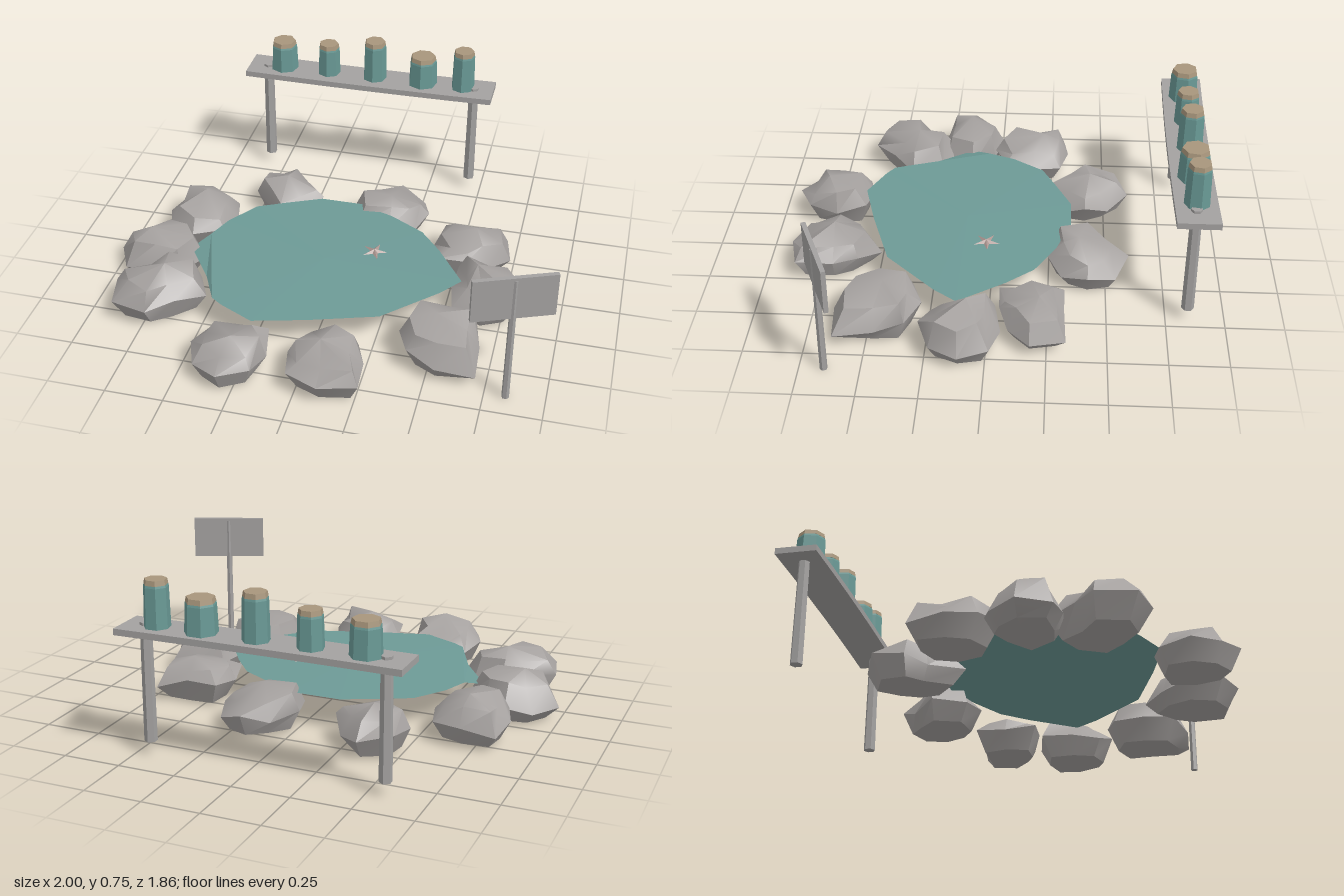
import * as THREE from 'three';
import { toCreasedNormals } from 'three/addons/utils/BufferGeometryUtils.js';

const material = (name, color, extra = {}) => {
  const m = new THREE.MeshStandardMaterial({ color, ...extra });
  m.name = name;
  return m;
};

// Small seeded generator, returns 0..1
let seed = 7;
const rnd = () => (seed = (seed * 16807) % 2147483647) / 2147483647;

// Geometry from a flat list of triangle corners
function triangles(points) {
  const g = new THREE.BufferGeometry();
  g.setAttribute('position', new THREE.Float32BufferAttribute(points.flat(), 3));
  g.computeVertexNormals();
  return g;
}

// Skin closed rings of [x, y, z] points, from bottom to top; caps meet in one point each
function loft(rings, bottom, top) {
  const pts = [], n = rings[0].length, last = rings[rings.length - 1];
  for (let i = 0; i < n; i++) {
    const j = (i + 1) % n;
    pts.push(bottom, rings[0][i], rings[0][j]);
    for (let k = 0; k + 1 < rings.length; k++) {
      const lo = rings[k], up = rings[k + 1];
      pts.push(lo[i], up[i], lo[j], up[i], up[j], lo[j]);
    }
    pts.push(top, last[j], last[i]);
  }
  return triangles(pts);
}

// Rock: eight radii around its centre, pulled into base, belly and crown
function rockGeometry(x, z, h, radii) {
  const ring = (scale, y, wobble) => radii.map((r, i) => {
    const a = i * Math.PI / 4, s = r * (scale + (rnd() - 0.5) * wobble);
    return [x + Math.cos(a) * s, y + (rnd() - 0.5) * wobble * 0.16, z + Math.sin(a) * s];
  });
  const rings = [ring(0.74, 0.014, 0.08), ring(1, 0.09, 0), ring(0.7, h - 0.04, 0.3)];
  rings[1].forEach(p => { p[1] += (rnd() - 0.5) * 0.07; });
  const top = [x + (rnd() - 0.5) * 0.1, h, z + (rnd() - 0.5) * 0.1];
  return toCreasedNormals(loft(rings, [x, 0.003, z], top), 0.72);
}

export function createModel() {
  const root = new THREE.Group();
  root.name = 'rockPond';
  const stone = material('stone grey', 0xa5a19f);
  const wood = material('weathered wood grey', 0xa3a1a0);
  const water = material('pond teal', 0x6d9a96, { side: THREE.DoubleSide });
  const glass = material('jar teal', 0x699995, { flatShading: true });
  const lidTan = material('lid tan', 0xa8967c, { flatShading: true });
  const starPink = material('starfish brown', 0xae9893, { flatShading: true });

  const add = (parent, name, geo, mat, x = 0, y = 0, z = 0) => {
    const m = new THREE.Mesh(geo, mat);
    m.name = name;
    m.position.set(x, y, z);
    parent.add(m);
    return m;
  };

  // Ring of rocks: x, z, height, then radii from +x round towards +z
  const rocks = new THREE.Group();
  rocks.name = 'rocks';
  root.add(rocks);
  [
    [-0.36, -0.41, 0.20, .17, .17, .22, .11, .16, .20, .20, .15],
    [0.16, -0.42, 0.20, .16, .16, .18, .21, .19, .14, .18, .17],
    [0.56, -0.18, 0.20, .18, .13, .13, .19, .17, .20, .14, .21],
    [0.67, 0.11, 0.22, .17, .17, .17, .18, .15, .20, .17, .18],
    [0.54, 0.465, 0.21, .16, .24, .18, .18, .18, .20, .19, .18],
    [0.11, 0.695, 0.20, .15, .23, .20, .20, .17, .17, .20, .15],
    [-0.30, 0.735, 0.21, .16, .18, .19, .17, .165, .18, .16, .19],
    [-0.715, 0.415, 0.22, .21, .14, .20, .23, .20, .12, .21, .20],
    [-0.80, 0.135, 0.22, .20, .18, .15, .19, .20, .16, .155, .15],
    [-0.70, -0.165, 0.21, .16, .19, .19, .18, .17, .21, .165, .18],
  ].forEach(([x, z, h, ...radii]) => add(rocks, 'rock', rockGeometry(x, z, h, radii), stone));

  // Water sheet, slightly domed, with a drooping flap at its -x edge
  const rim = [
    [-.18, -.345], [.05, -.345], [.19, -.27], [.33, -.19], [.43, -.07], [.565, .13],
    [.49, .23], [.27, .45], [-.02, .545], [-.245, .605], [-.40, .53], [-.45, .495],
    [-.60, .05], [-.555, -.07], [-.46, -.21], [-.34, -.27],
  ].map(([x, z]) => [x, 0.152, z]);
  const sheet = rim.flatMap((p, i) => [[-0.05, 0.162, 0.12], rim[(i + 1) % rim.length], p]);
  const tip = [-0.665, 0.125, 0.135], fold = [-0.53, 0.13, 0.33];
  sheet.push(rim[11], rim[12], fold, fold, rim[12], tip);
  add(root, 'water', triangles(sheet), water);

  // Starfish with a raised centre
  const star = [...Array(10)].map((_, i) => {
    const a = i * Math.PI / 5 - 1.35, r = i % 2 ? 0.02 : 0.06;
    return [Math.cos(a) * r, 0, Math.sin(a) * r];
  });
  add(root, 'starfish', loft([star], [0, -0.005, 0], [0, 0.014, 0]), starPink, 0.155, 0.166, 0.025);

  // Shelf on two posts whose ends poke through the plank
  const shelf = new THREE.Group();
  shelf.name = 'shelf';
  root.add(shelf);
  const plank = new THREE.BoxGeometry(1.2, 0.027, 0.18, 6, 1, 1);
  const pp = plank.attributes.position;
  for (let i = 0; i < pp.count; i++) {
    pp.setZ(i, pp.getZ(i) + 0.008 * (1 - (pp.getX(i) / 0.6) ** 2));
  }
  plank.computeVertexNormals();
  add(shelf, 'plank', plank, wood, -0.068, 0.54, -0.848);
  for (const x of [-0.575, 0.44]) {
    const post = toCreasedNormals(new THREE.CylinderGeometry(0.024, 0.027, 0.505, 6), 0.5);
    add(shelf, 'shelfPost', post, wood, x, 0.3125, -0.842);
  }

  // Jars with lids: x, radius, top height
  [
    [-0.495, 0.066, 0.70], [-0.272, 0.055, 0.71], [-0.045, 0.057, 0.75],
    [0.19, 0.069, 0.70], [0.385, 0.055, 0.75],
  ].forEach(([x, r, top], i) => {
    const jar = new THREE.Group();
    jar.name = 'jar';
    jar.position.set(x, 0.553, -0.847);
    jar.rotation.y = i * 0.9;
    shelf.add(jar);
    const h = top - 0.553;
    const side = [[0, 0], [r, 0], [r * 0.93, h - 0.03], [r * 0.88, h - 0.019], [0, h - 0.019]];
    add(jar, 'jarBody', new THREE.LatheGeometry(side.map(p => new THREE.Vector2(...p)), 7), glass);
    add(jar, 'jarLid', new THREE.CylinderGeometry(r * 0.83, r * 0.9, 0.021, 7), lidTan, 0, h - 0.0105, 0);
  });

  // Signpost, turned slightly, with its post showing on both faces of the board
  const sign = new THREE.Group();
  sign.name = 'sign';
  sign.position.set(0.838, 0, 0.648);
  sign.rotation.y = 0.385;
  root.add(sign);
  add(sign, 'signBoard', new THREE.BoxGeometry(0.342, 0.194, 0.019), wood, 0, 0.513, 0);
  const pole = toCreasedNormals(new THREE.CylinderGeometry(0.014, 0.016, 0.595, 6), 0.5);
  add(sign, 'signPost', pole, wood, 0, 0.3, 0);

  return root;
}
